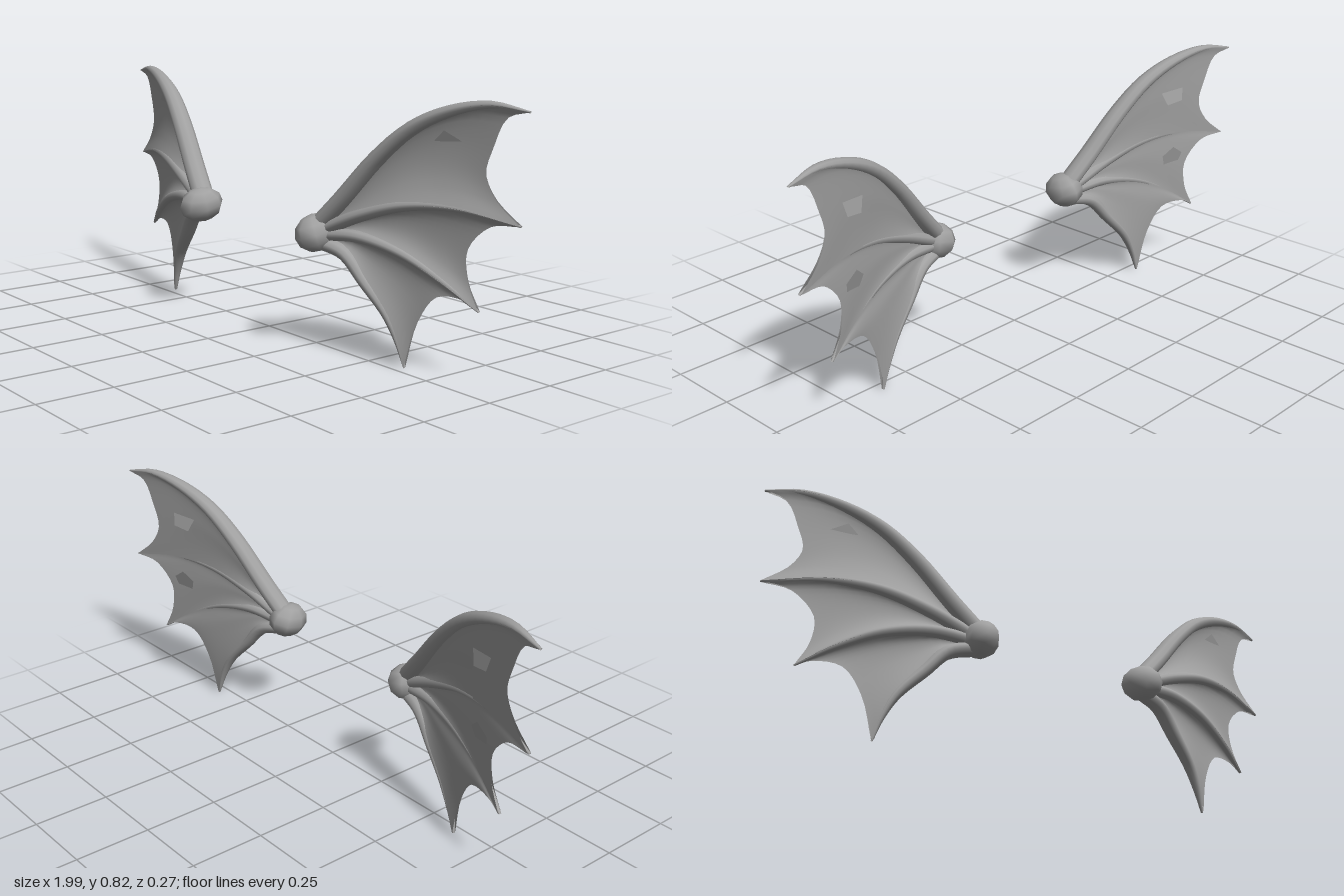
import * as THREE from 'three';
import { ParametricGeometry } from 'three/addons/geometries/ParametricGeometry.js';

const grey = new THREE.MeshStandardMaterial({ color: 0xa0a0a0, side: THREE.DoubleSide });
grey.name = 'grey';

// The wing sweeps back as it spreads outward
const planeZ = (x) => 0.05 - 0.262 * (x - 0.3);
const wingNormal = new THREE.Vector3(0.253, 0, 0.967);

// Curve lying on the wing plane, bowed forward in the middle
function planeCurve(points, bow = 0) {
  const n = points.length - 1;
  return new THREE.CatmullRomCurve3(points.map(([x, y], i) =>
    new THREE.Vector3(x, y, planeZ(x) + bow * Math.sin(Math.PI * i / n))));
}

// Bones from top to bottom: path, root radius
const bones = [
  { name: 'leadingBone', r: 0.034, curve: planeCurve([[0.32, 0.41], [0.4, 0.495], [0.52, 0.63], [0.63, 0.725], [0.75, 0.783], [0.88, 0.81], [0.995, 0.797]]) },
  { name: 'upperFinger', r: 0.024, curve: planeCurve([[0.33, 0.39], [0.48, 0.455], [0.63, 0.5], [0.79, 0.51], [0.98, 0.478]], 0.016) },
  { name: 'lowerFinger', r: 0.022, curve: planeCurve([[0.33, 0.375], [0.47, 0.385], [0.62, 0.355], [0.76, 0.285], [0.86, 0.215]], 0.014) },
  { name: 'trailingBone', r: 0.026, curve: planeCurve([[0.32, 0.35], [0.41, 0.325], [0.48, 0.25], [0.56, 0.16], [0.6, 0.08], [0.622, 0.003]]) },
];

// Scalloped outer edges between neighbouring tips
const edges = [
  [[0.995, 0.797], [0.925, 0.775], [0.885, 0.69], [0.865, 0.615], [0.9, 0.545], [0.98, 0.478]],
  [[0.98, 0.478], [0.885, 0.465], [0.815, 0.39], [0.82, 0.3], [0.86, 0.215]],
  [[0.86, 0.215], [0.81, 0.24], [0.72, 0.235], [0.66, 0.15], [0.622, 0.003]],
].map((p) => planeCurve(p));

const radiusAt = (r, u) => r * (1 - Math.pow(u, 2.2)) + 0.004;

// Tapered bone with round section
function boneGeometry({ curve, r }) {
  return new ParametricGeometry((u, v, out) => {
    const t = curve.getTangent(u);
    const side = t.cross(wingNormal).normalize();
    const a = v * Math.PI * 2;
    const rad = radiusAt(r, u);
    out.copy(curve.getPoint(u))
      .addScaledVector(side, rad * 0.75 * Math.cos(a))
      .addScaledVector(wingNormal, rad * Math.sin(a));
  }, 24, 10);
}

// Skin between two bones; it swells to meet each bone and sags in between
function skinGeometry(upper, lower, edge, face) {
  return new ParametricGeometry((u, w, out) => {
    const v = face > 0 ? 1 - w : w;
    out.lerpVectors(upper.curve.getPoint(u), lower.curve.getPoint(u), v);
    const straight = new THREE.Vector3().lerpVectors(upper.curve.getPoint(1), lower.curve.getPoint(1), v);
    out.addScaledVector(edge.getPoint(v).sub(straight), Math.pow(u, 1.8));
    const mid = Math.sin(Math.PI * v);
    const rad = radiusAt(THREE.MathUtils.lerp(upper.r, lower.r, v), u);
    const half = rad * 0.85 * Math.pow(1 - mid, 1.3) + 0.002;
    const sag = 0.016 * mid * Math.sin(Math.PI * Math.min(1, u * 0.85));
    out.addScaledVector(wingNormal, face * half - sag);
  }, 18, 16);
}

function addMesh(parent, name, geometry) {
  const mesh = new THREE.Mesh(geometry, grey);
  mesh.name = name;
  parent.add(mesh);
  return mesh;
}

function createWing(name) {
  const wing = new THREE.Group();
  wing.name = name;

  bones.forEach((b) => addMesh(wing, b.name, boneGeometry(b)));

  ['upperSkin', 'middleSkin', 'lowerSkin'].forEach((skin, i) => {
    addMesh(wing, skin + 'Front', skinGeometry(bones[i], bones[i + 1], edges[i], 1));
    addMesh(wing, skin + 'Back', skinGeometry(bones[i], bones[i + 1], edges[i], -1));
  });

  // Knobbly shoulder joint
  const joint = addMesh(wing, 'shoulderJoint', new THREE.SphereGeometry(1, 8, 6));
  joint.scale.set(0.06, 0.06, 0.079);
  joint.rotation.set(0.15, 0.25, 0.2);
  joint.position.set(0.313, 0.38, 0.057);

  // Torn scraps of skin, tilted through the membrane
  [[0.74, 0.675, 0.055, 0.22], [0.75, 0.42, 0.045, -0.22]].forEach(([x, y, r, tilt]) => {
    const scrap = addMesh(wing, 'tornScrap', new THREE.CircleGeometry(r, 5));
    scrap.position.set(x, y, planeZ(x) - 0.012);
    scrap.rotation.set(tilt, 0.262, 0.4);
  });
  return wing;
}

export function createModel() {
  const model = new THREE.Group();
  model.name = 'wings';
  const left = createWing('leftWing');
  const right = createWing('rightWing');
  right.scale.x = -1;
  model.add(left, right);
  return model;
}
